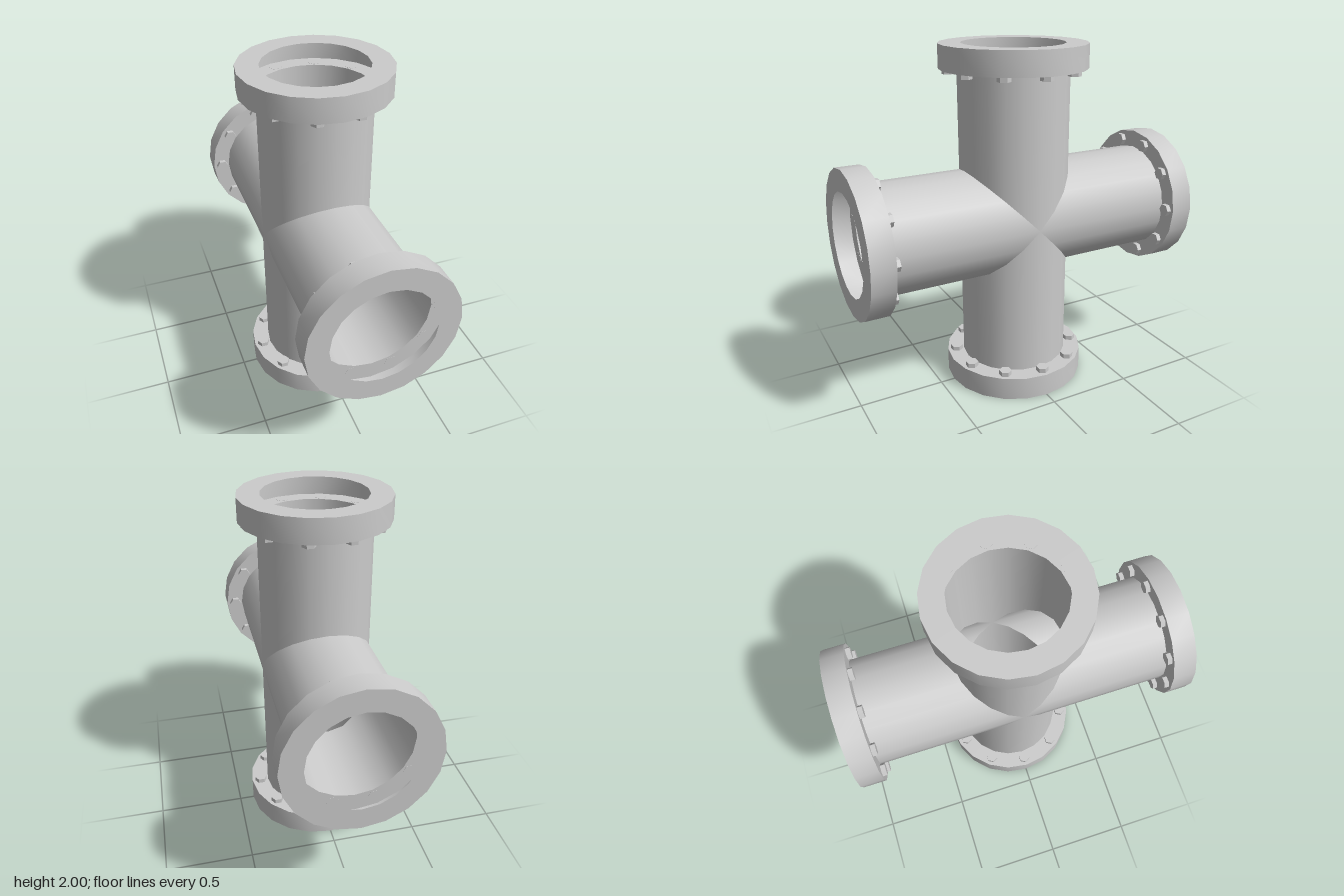
import * as THREE from 'three';
import { toCreasedNormals } from 'three/addons/utils/BufferGeometryUtils.js';

const SIDES = 20, PIPE_R = 0.315, FLANGE_R = 0.415, BORE_R = 0.29;
const END = 1, SEAT = 0.865; // outer face and inner face of each flange, from the centre
const BOLTS = 10, BOLT_RING = 0.36, BOLT_R = 0.037, BOLT_H = 0.028;

// Thin pipe along +y whose inner end is mitred at 45 degrees to meet the other arms
function pipeGeometry() {
  const geo = new THREE.CylinderGeometry(PIPE_R, PIPE_R, SEAT, SIDES, 1, true);
  const pos = geo.attributes.position;
  for (let i = 0; i < pos.count; i++) {
    pos.setY(i, pos.getY(i) > 0 ? SEAT : Math.abs(pos.getZ(i)));
  }
  return geo; // radial normals keep the crossing smooth at its sides
}

// Hollow flange: inner ring, rim and outer ring
function flangeGeometry() {
  const profile = [[PIPE_R, SEAT], [FLANGE_R, SEAT], [FLANGE_R, END], [BORE_R, END]]
    .map(([r, y]) => new THREE.Vector2(r, y));
  return toCreasedNormals(new THREE.LatheGeometry(profile, SIDES), Math.PI / 6);
}

export function createModel() {
  const model = new THREE.Group();
  model.name = 'pipeCross';

  const shell = new THREE.MeshStandardMaterial({ color: 0xcccccc, side: THREE.DoubleSide });
  const boltMaterial = new THREE.MeshStandardMaterial({ color: 0xcccccc, flatShading: true });
  const pipeGeo = pipeGeometry();
  const flangeGeo = flangeGeometry();
  const boltGeo = new THREE.CylinderGeometry(BOLT_R, BOLT_R, BOLT_H, 6).rotateY(Math.PI / 2);

  const add = (parent, name, geo, material) => {
    const mesh = new THREE.Mesh(geo, material);
    mesh.name = name;
    parent.add(mesh);
    return mesh;
  };

  // Four identical arms turned about the x axis
  ['top', 'front', 'bottom', 'back'].forEach((side, k) => {
    const arm = new THREE.Group();
    arm.name = side + 'Arm';
    add(arm, side + 'Pipe', pipeGeo, shell);
    add(arm, side + 'Flange', flangeGeo, shell);

    // Hexagonal bolt heads under the flange
    for (let i = 0; i < BOLTS; i++) {
      const a = (i / BOLTS) * Math.PI * 2;
      add(arm, side + 'Bolt' + (i + 1), boltGeo, boltMaterial)
        .position.set(BOLT_RING * Math.cos(a), SEAT - BOLT_H / 2 + 0.001, BOLT_RING * Math.sin(a));
    }

    arm.rotation.x = (k * Math.PI) / 2;
    arm.position.y = 1;
    model.add(arm);
  });

  return model;
}
